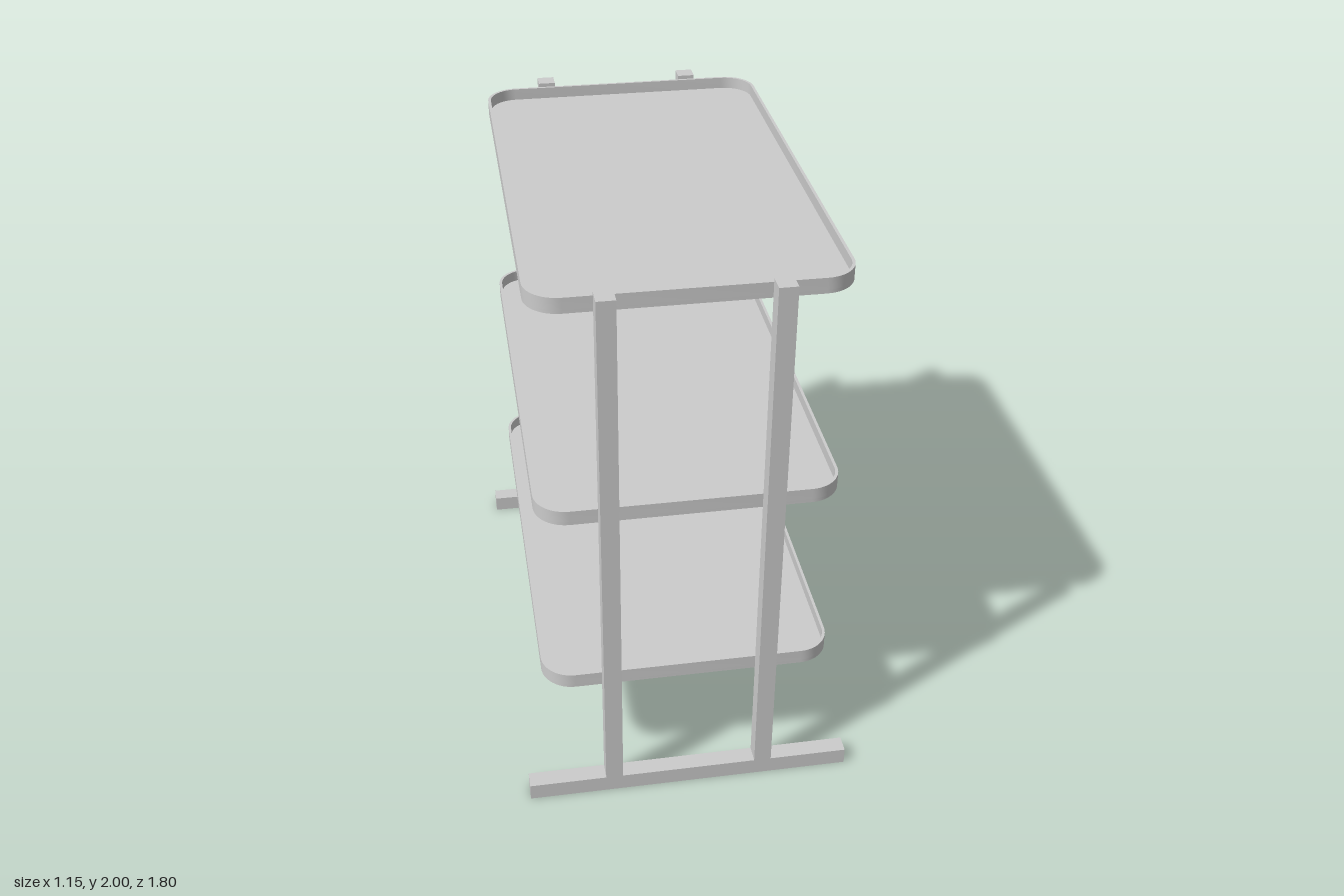
import * as THREE from 'three';
import { toCreasedNormals } from 'three/addons/utils/BufferGeometryUtils.js';

const material = new THREE.MeshStandardMaterial({ color: 0xcccccc });

function box(name, w, h, d, x, y, z) {
  const mesh = new THREE.Mesh(new THREE.BoxGeometry(w, h, d), material);
  mesh.name = name;
  mesh.position.set(x, y, z);
  return mesh;
}

// Rounded rectangle traced into a Shape or Path
function roundedRect(path, hw, hd, r) {
  path.moveTo(hw, -hd + r);
  path.lineTo(hw, hd - r);
  path.absarc(hw - r, hd - r, r, 0, Math.PI / 2);
  path.absarc(-hw + r, hd - r, r, Math.PI / 2, Math.PI);
  path.absarc(-hw + r, -hd + r, r, Math.PI, Math.PI * 1.5);
  path.absarc(hw - r, -hd + r, r, Math.PI * 1.5, Math.PI * 2);
  return path;
}

// Extrude a plan outline upwards, smooth around the corners
function slab(name, shape, height, y) {
  const geometry = new THREE.ExtrudeGeometry(shape, { depth: height, bevelEnabled: false, curveSegments: 6 });
  geometry.rotateX(-Math.PI / 2);
  const mesh = new THREE.Mesh(toCreasedNormals(geometry, Math.PI / 6), material);
  mesh.name = name;
  mesh.position.y = y;
  return mesh;
}

// Shallow tray: thin floor with a raised rim
function createTray(y) {
  const hw = 0.508, hd = 0.837, r = 0.11, wall = 0.01, height = 0.053, floor = 0.012;
  const tray = new THREE.Group();
  tray.name = 'tray';
  const rim = roundedRect(new THREE.Shape(), hw, hd, r);
  rim.holes.push(roundedRect(new THREE.Path(), hw - wall, hd - wall, r - wall));
  tray.add(slab('trayFloor', roundedRect(new THREE.Shape(), hw, hd, r), floor, 0));
  tray.add(slab('trayRim', rim, height - floor, floor));
  tray.position.set(0.004, y, 0);
  return tray;
}

export function createModel() {
  const model = new THREE.Group();
  model.name = 'trayShelf';

  // End frames: a foot bar carrying two posts
  const bar = 0.062;
  for (const side of [1, -1]) {
    const frame = new THREE.Group();
    frame.name = side > 0 ? 'frontFrame' : 'backFrame';
    const z = side * (0.9 - bar / 2);
    frame.add(box('footBar', 1.15, bar, bar, 0, bar / 2, z));
    for (const x of [-0.272, 0.268]) {
      frame.add(box(x > 0 ? 'leftPost' : 'rightPost', 0.061, 2 - bar, bar, x, (2 + bar) / 2, z));
    }
    model.add(frame);
  }

  // Three trays between the frames
  for (const y of [0.457, 1.159, 1.934]) model.add(createTray(y));

  return model;
}
